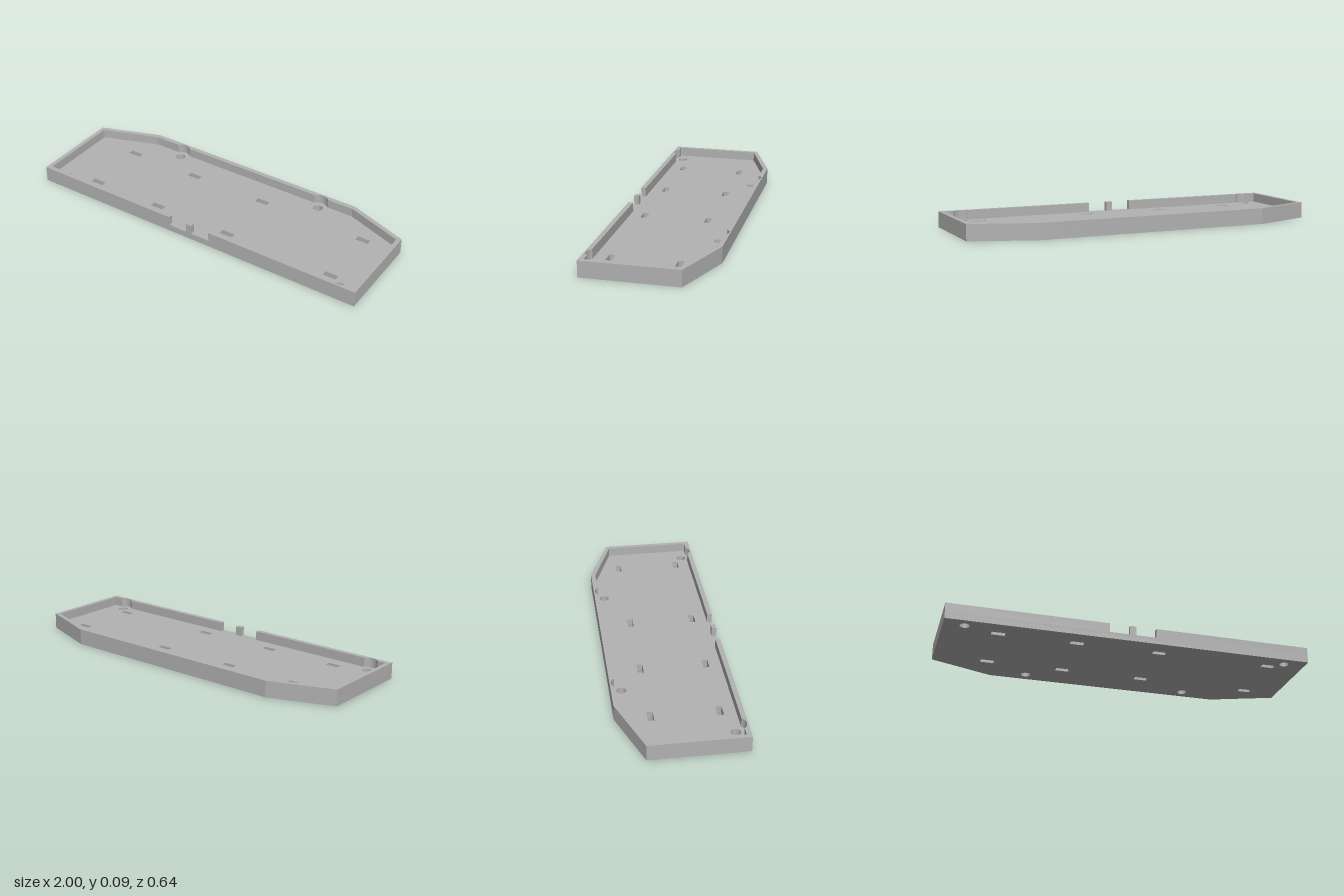
import * as THREE from 'three';

const HEIGHT = 0.088, FLOOR = 0.037;
const SCREW_Z = 0.26, SCREW_R = 0.026, RELIEF_R = 0.053;
const INNER = 0.294; // inner face of the front and back walls

// Plan shapes are drawn with y pointing to the back, then laid flat and raised.
function slab(name, shape, bottom, top, material) {
  const geometry = new THREE.ExtrudeGeometry(shape, {
    depth: top - bottom, bevelEnabled: false, curveSegments: 20,
  });
  geometry.rotateX(-Math.PI / 2);
  geometry.translate(0, bottom, 0);
  const mesh = new THREE.Mesh(geometry, material);
  mesh.name = name;
  return mesh;
}

function polygon(points) {
  return new THREE.Shape(points.map(([x, y]) => new THREE.Vector2(x, y)));
}

function rectangle(x0, x1, y0, y1) {
  return polygon([[x0, y0], [x1, y0], [x1, y1], [x0, y1]]);
}

export function createModel() {
  const group = new THREE.Group();
  group.name = 'tray';
  const grey = new THREE.MeshStandardMaterial({ color: 0xb2b2b2 });
  grey.name = 'grey';

  const backCorners = [[1, -0.32], [1, 0.197], [0.66, 0.32], [-0.66, 0.32], [-1, 0.197], [-1, -0.32]];

  // Floor plate with screw holes and strap slots
  const floor = polygon(backCorners);
  const screws = [[-0.888, -SCREW_Z], [-0.467, SCREW_Z], [0.463, SCREW_Z], [0.883, -SCREW_Z]];
  for (const [x, y] of screws) {
    floor.holes.push(new THREE.Path().absarc(x, y, SCREW_R, 0, Math.PI * 2, true));
  }
  for (const x of [-0.705, -0.282, 0.175, 0.806]) {
    for (const y of [0.14, -0.213]) {
      floor.holes.push(rectangle(x - 0.037, x + 0.037, y - 0.016, y + 0.016));
    }
  }
  group.add(slab('floor', floor, 0, FLOOR, grey));

  // Rim wall, open at the front, with round reliefs beside the screw holes
  const a = Math.asin((INNER - SCREW_Z) / RELIEF_R);
  const wall = polygon([[0.125, -0.32], ...backCorners, [-0.13, -0.32], [-0.13, -INNER]]);
  const relief = ([x, y]) => (y > 0
    ? wall.absarc(x, y, RELIEF_R, Math.PI - a, a, true)
    : wall.absarc(x, y, RELIEF_R, -a, a - Math.PI, true));
  relief(screws[0]);
  wall.lineTo(-0.976, -INNER);
  wall.lineTo(-0.976, 0.18);
  wall.lineTo(-0.656, INNER);
  relief(screws[1]);
  relief(screws[2]);
  wall.lineTo(0.656, INNER);
  wall.lineTo(0.976, 0.18);
  wall.lineTo(0.976, -INNER);
  relief(screws[3]);
  wall.lineTo(0.125, -INNER);
  group.add(slab('rimWall', wall, FLOOR, HEIGHT, grey));

  // Small post between the two front notches
  group.add(slab('notchPost', rectangle(-0.02, 0.015, -0.32, -INNER), FLOOR, HEIGHT, grey));

  return group;
}
